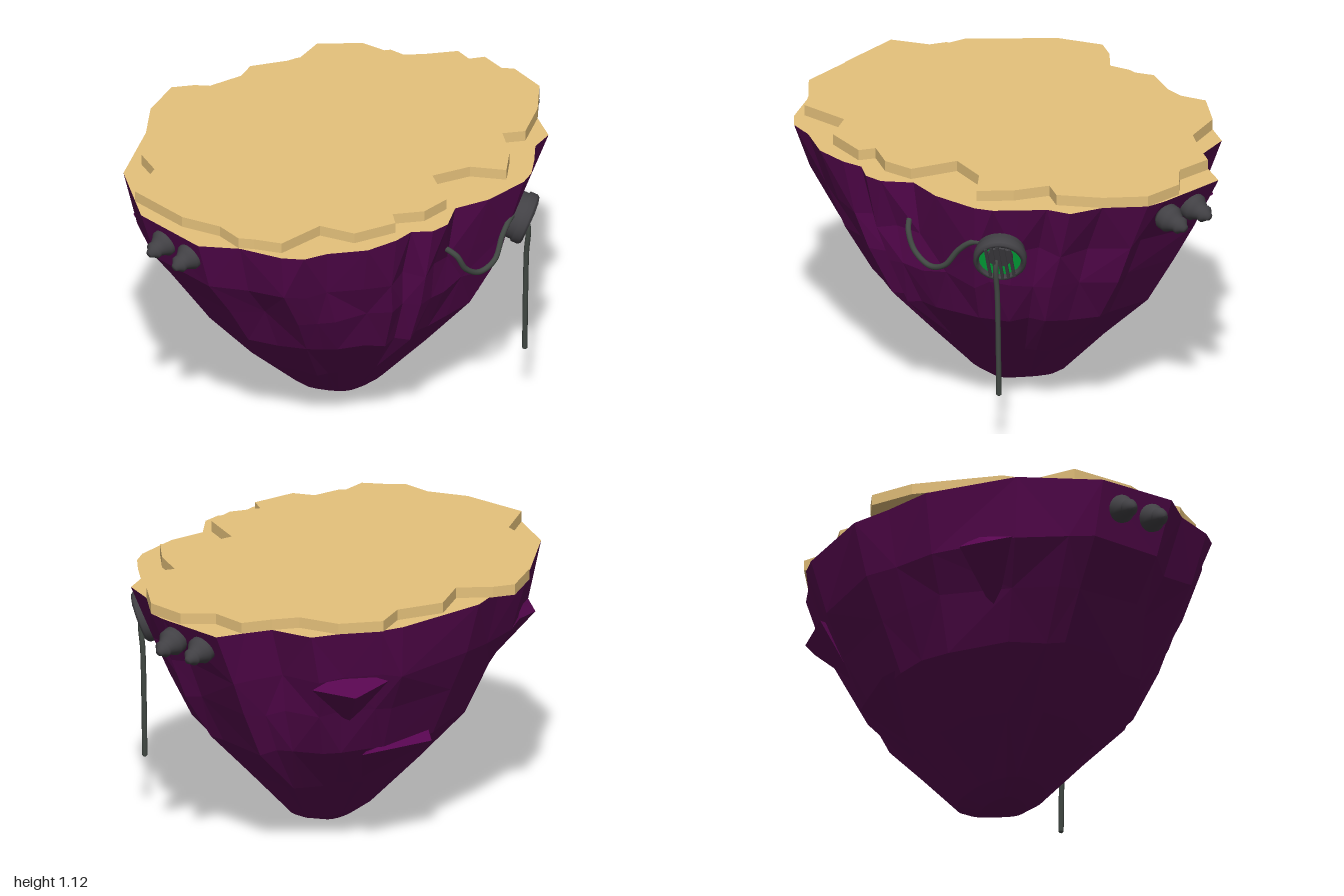
import * as THREE from 'three';
import { ConvexGeometry } from 'three/addons/geometries/ConvexGeometry.js';

const V = (x, y, z) => new THREE.Vector3(x, y, z);
const TOP = 1.08;

// Outlines as [x, z], running back, left side, front, right side
const rockEdge = [[-0.42, -0.65], [-0.2, -0.68], [-0.02, -0.72], [0.38, -0.65], [0.47, -0.61], [0.61, -0.5],
  [0.71, -0.44], [0.74, -0.26], [0.84, -0.2], [0.95, -0.14], [0.92, 0.16], [0.9, 0.24], [0.77, 0.37],
  [0.71, 0.5], [0.61, 0.53], [0.53, 0.61], [0.45, 0.68], [0.38, 0.71], [0.18, 0.72], [0.03, 0.68],
  [-0.08, 0.755], [-0.16, 0.755], [-0.23, 0.7], [-0.32, 0.71], [-0.46, 0.69], [-0.6, 0.6], [-0.7, 0.57],
  [-0.76, 0.5], [-0.83, 0.33], [-0.94, 0.2], [-0.94, -0.14], [-0.88, -0.24], [-0.76, -0.44]];
const slabEdge = [[-0.38, -0.69], [-0.2, -0.76], [-0.12, -0.71], [-0.02, -0.6], [0.15, -0.67], [0.33, -0.58],
  [0.47, -0.62], [0.61, -0.5], [0.65, -0.33], [0.74, -0.26], [0.85, -0.19], [0.83, -0.04], [0.92, 0.07],
  [0.9, 0.24], [0.77, 0.37], [0.61, 0.47], [0.53, 0.42], [0.45, 0.55], [0.34, 0.65], [0.25, 0.53],
  [0.09, 0.48], [0, 0.66], [-0.13, 0.67], [-0.24, 0.6], [-0.28, 0.66], [-0.46, 0.61], [-0.52, 0.47],
  [-0.73, 0.47], [-0.79, 0.37], [-0.83, 0.32], [-0.82, 0.2], [-0.88, 0.04], [-0.88, -0.24],
  [-0.7, -0.32], [-0.66, -0.44]];

// Cross-sections of the rock: height, then reach to +x, -x, +z, -z
const levels = [[TOP, 0.95, 0.94, 0.755, 0.72], [0.85, 0.83, 0.87, 0.69, 0.67], [0.68, 0.74, 0.75, 0.65, 0.58],
  [0.48, 0.62, 0.625, 0.56, 0.49], [0.27, 0.42, 0.415, 0.38, 0.3], [0.07, 0.235, 0.205, 0.2, 0.11],
  [0.02, 0.09, 0.11, 0.13, 0.04]];

function seeded(seed) {
  return () => (seed = (seed * 16807) % 2147483647) / 2147483647;
}

function flatShape(points) {
  return new THREE.Shape(points.map(([x, z]) => new THREE.Vector2(x, -z)));
}

function rockGeometry() {
  const rand = seeded(77);
  const n = rockEdge.length;
  const [, tx, tnx, tz, tnz] = levels[0];
  const rings = levels.map(([y, px, nx, pz, nz], k) => rockEdge.map(([x, z], i) => {
    // unit outline, easing from the ragged rim to a plain oval lower down
    const u = x / (x > 0 ? tx : tnx), v = z / (z > 0 ? tz : tnz);
    const round = 1 + (k / 6) * (0.98 / Math.hypot(u, v) - 1);
    const inner = k > 0 && k < 5;
    const ridge = inner ? (z > 0 ? (i % 2 ? 0.015 : -0.02) : 0) + (rand() - 0.5) * 0.03 : 0;
    const s = round * (1 + ridge);
    return V(u * s * (x > 0 ? px : nx), y + (inner ? (rand() - 0.5) * 0.03 : 0), v * s * (z > 0 ? pz : nz));
  }));
  const tip = V(-0.02, 0, 0.05);
  const tris = [];
  for (let k = 0; k < rings.length; k++) {
    for (let i = 0; i < n; i++) {
      const j = (i + 1) % n;
      const a = rings[k][i], b = rings[k][j];
      if (k === rings.length - 1) { tris.push(tip, a, b); continue; }
      const c = rings[k + 1][i], d = rings[k + 1][j];
      // alternate the diagonal for a chipped look
      if ((i + k) % 2) tris.push(c, a, b, c, b, d);
      else tris.push(c, a, d, a, b, d);
    }
  }
  const g = new THREE.BufferGeometry().setFromPoints(tris);
  g.computeVertexNormals();
  return g;
}

export function createModel() {
  const mat = (name, color, flatShading = false) => {
    const m = new THREE.MeshStandardMaterial({ color, flatShading });
    m.name = name;
    return m;
  };
  const purple = mat('purple rock', 0x57064f, true);
  const sand = mat('sand', 0xe5c17b, true);
  const iron = mat('dark iron', 0x424145);
  const cableGrey = mat('cable grey', 0x414843);
  const green = mat('green glow', 0x00b43f);

  const model = new THREE.Group();
  const add = (parent, name, geo, material) => {
    const m = new THREE.Mesh(geo, material);
    m.name = name;
    parent.add(m);
    return m;
  };

  // Floating rock, its sandy top and the raised slab
  add(model, 'rock', rockGeometry(), purple);
  const topGeo = new THREE.ShapeGeometry(flatShape(rockEdge)).rotateX(-Math.PI / 2);
  add(model, 'sandTop', topGeo, sand).position.y = TOP;
  const slabGeo = new THREE.ExtrudeGeometry(flatShape(slabEdge), { depth: 0.045, bevelEnabled: false });
  add(model, 'sandSlab', slabGeo.rotateX(-Math.PI / 2), sand).position.y = TOP;

  // Jutting ledges on the back
  const ledges = [
    [V(0.05, 0.47, -0.53), V(0.36, 0.47, -0.42), V(0, 0.52, -0.46), V(0.2, 0.3, -0.29), V(0.1, 0.45, -0.3)],
    [V(0.68, 0.84, -0.42), V(0.4, 0.84, -0.59), V(0.56, 0.8, -0.55), V(0.48, 0.88, -0.45), V(0.42, 0.62, -0.4)],
    [V(-0.5, 0.84, -0.54), V(-0.56, 0.88, -0.49), V(-0.72, 0.85, -0.39), V(-0.65, 0.82, -0.5), V(-0.49, 0.6, -0.36)],
  ];
  ledges.forEach((pts) => add(model, 'rockLedge', new ConvexGeometry(pts), purple));

  // Bolts, two on each side
  const boltProfile = [[0, -0.04], [0.045, -0.04], [0.057, -0.025], [0.057, 0.01], [0.045, 0.025], [0.034, 0.045],
    [0.036, 0.05], [0.036, 0.062], [0.022, 0.075], [0.014, 0.088], [0, 0.09]];
  const boltGeo = new THREE.LatheGeometry(boltProfile.map(([r, y]) => new THREE.Vector2(r, y)), 20);
  for (const side of [1, -1]) {
    for (const z of [-0.03, 0.12]) {
      const bolt = add(model, side > 0 ? 'leftBolt' : 'rightBolt', boltGeo, iron);
      bolt.position.set(side * 0.914, 0.99, z);
      bolt.quaternion.setFromUnitVectors(V(0, 1, 0), V(side, -0.28, 0).normalize());
    }
  }

  // Round caged lamp, built facing +z and then turned outwards
  const lamp = new THREE.Group();
  lamp.name = 'cagedLamp';
  const housing = [[0, -0.035], [0.085, -0.035], [0.1, -0.025], [0.1, 0], [0.108, 0.005], [0.108, 0.035],
    [0.1, 0.045], [0.088, 0.045], [0.086, 0.005], [0, 0.005]].map(([r, y]) => new THREE.Vector2(r, y));
  add(lamp, 'lampHousing', new THREE.LatheGeometry(housing, 32).rotateX(Math.PI / 2), iron);
  add(lamp, 'lampGlow', new THREE.CylinderGeometry(0.085, 0.085, 0.008, 32).rotateX(Math.PI / 2), green)
    .position.z = 0.022;
  const hub = add(lamp, 'lampHub', new THREE.CylinderGeometry(0.05, 0.055, 0.014, 24).rotateX(Math.PI / 2), iron);
  hub.position.set(0, 0.022, 0.03);
  for (let i = -2; i <= 2; i++) {
    const bar = add(lamp, 'lampBar', new THREE.BoxGeometry(0.012, 0.18 - Math.abs(i) * 0.014, 0.014), iron);
    bar.position.set(i * 0.024, 0, 0.042);
    bar.rotation.z = 0.12;
  }
  lamp.position.set(0.44, 0.86, 0.62);
  lamp.lookAt(lamp.position.clone().add(V(0.58, -0.36, 0.74)));
  model.add(lamp);

  // Cables: one looping along the rock, one hanging free
  const cable = (name, pts, r) => add(model, name,
    new THREE.TubeGeometry(new THREE.CatmullRomCurve3(pts), 48, r, 8), cableGrey);
  cable('loopCable', [V(0.42, 0.9, 0.63), V(0.34, 0.905, 0.67), V(0.28, 0.86, 0.69), V(0.22, 0.78, 0.71),
    V(0.14, 0.755, 0.71), V(0.06, 0.8, 0.71), V(0.02, 0.87, 0.7), V(-0.01, 0.905, 0.66)], 0.012);
  cable('hangingCable', [V(0.445, 0.87, 0.64), V(0.45, 0.82, 0.66), V(0.45, 0.7, 0.65), V(0.45, 0.45, 0.643),
    V(0.45, 0.25, 0.64)], 0.011);
  const end = add(model, 'cableEnd', new THREE.SphereGeometry(0.011, 8, 6), cableGrey);
  end.position.set(0.45, 0.255, 0.64);

  return model;
}
